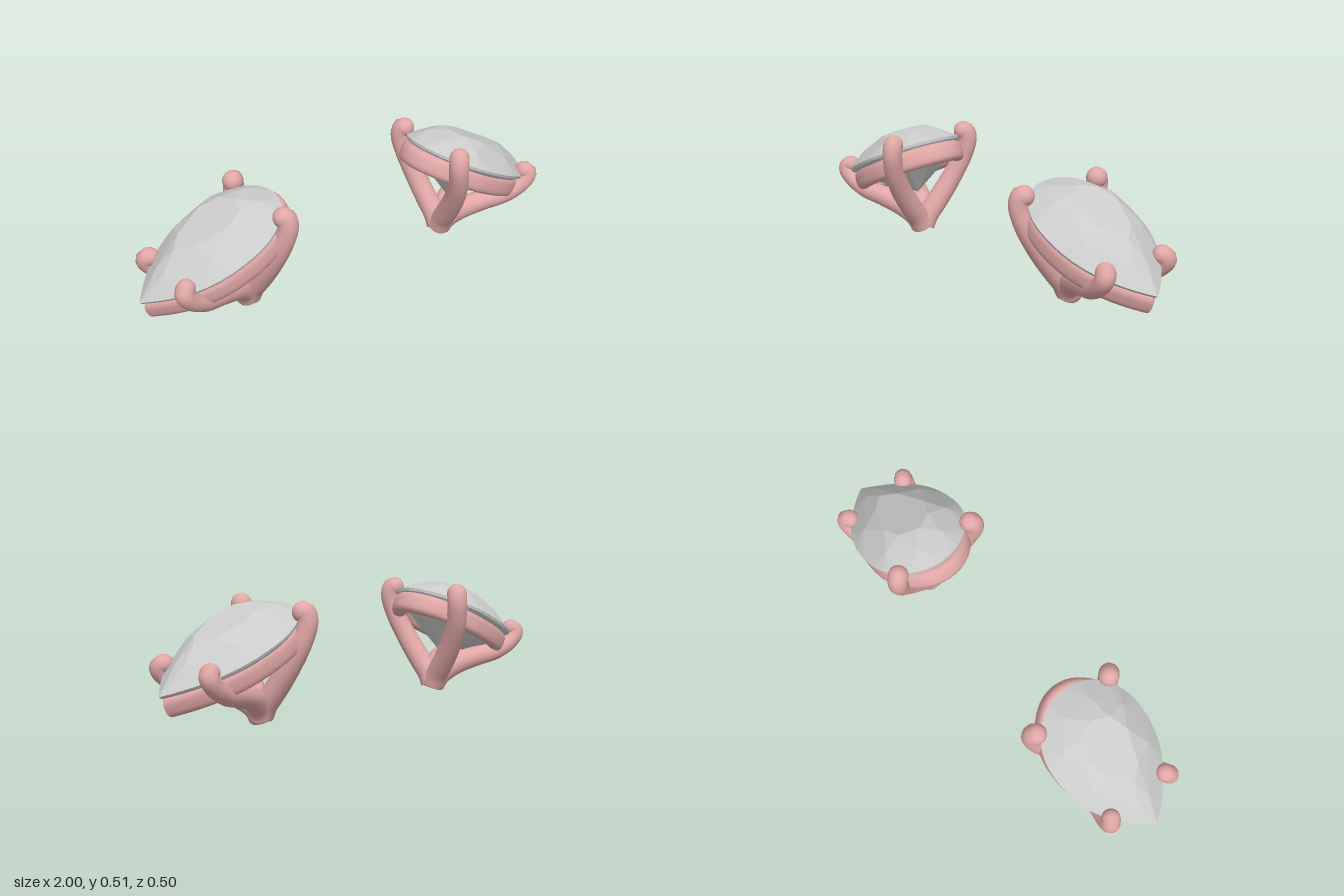
import * as THREE from 'three';
import { ConvexGeometry } from 'three/addons/geometries/ConvexGeometry.js';
import { ParametricGeometry } from 'three/addons/geometries/ParametricGeometry.js';

const gemMat = new THREE.MeshStandardMaterial({ color: 0xcccccc, flatShading: true });
const metalMat = new THREE.MeshStandardMaterial({ color: 0xe0a8a6 });
const MID = 0.42; // centre of the pear along its length

// Pear outline: tip at angle PI (u = 0), round head at angle 0 (u = 0.695)
function pear(angle, scale = 1) {
  const c = Math.cos(angle), s = Math.sin(angle);
  const u = 0.435 + (c > 0 ? 0.26 : 0.435) * c;
  const w = c > 0 ? 0.235 * s : 0.235 * Math.sign(s) * (1 - Math.pow(-c, 2.4));
  return [MID + (u - MID) * scale, w * scale];
}

// A ring of points at height h on the scaled outline
function ring(count, scale, h, shift = 0) {
  return Array.from({ length: count }, (_, i) => {
    const [u, w] = pear(Math.PI + ((i + shift) / count) * Math.PI * 2, scale);
    return new THREE.Vector3(u, h, w);
  });
}

function add(parent, name, geometry, material) {
  const mesh = new THREE.Mesh(geometry, material);
  mesh.name = name;
  parent.add(mesh);
  return mesh;
}

// Faceted pear-cut stone
function gemGeometry() {
  return new ConvexGeometry([
    ...ring(48, 1, 0), ...ring(48, 0.985, -0.012),
    ...ring(8, 0.73, 0.058, 0.5),
    ...ring(8, 0.46, 0.093),
    ...ring(16, 0.58, -0.095),
    new THREE.Vector3(0.42, -0.19, 0),
  ]);
}

// Rounded band below the girdle: creased at the tip, narrower at the sides, proud of the head
function railGeometry() {
  return new ParametricGeometry((a, b, target) => {
    const phi = -b * Math.PI * 2;
    const angle = Math.PI + a * Math.PI * 2;
    const r = 1 + 0.12 * Math.sin(2 * phi) ** 2;
    const scale = 1 + (0.028 * r * Math.cos(phi) - 0.028) / 0.235;
    const [u, w] = pear(angle, scale);
    const headShift = 0.018 * Math.max(0, Math.cos(angle)) ** 2;
    target.set(u + headShift, -0.063 + 0.045 * r * Math.sin(phi), w * 0.95);
  }, 96, 20);
}

// Claw stem: swept tube, thicker towards the foot
function stemGeometry(curve, tipRadius, extra) {
  const rings = 48, sides = 18;
  const geometry = new THREE.TubeGeometry(curve, rings, tipRadius, sides);
  const { position, normal } = geometry.attributes;
  const v = new THREE.Vector3(), n = new THREE.Vector3();
  for (let i = 0; i < position.count; i++) {
    const t = Math.floor(i / (sides + 1)) / rings;
    n.fromBufferAttribute(normal, i);
    v.fromBufferAttribute(position, i).addScaledVector(n, extra * (1 - THREE.MathUtils.smoothstep(t, 0.25, 0.8)));
    position.setXYZ(i, v.x, v.y, v.z);
  }
  return geometry;
}

// Claw with a rounded end
function addProng(parent, name, points, side, tipRadius, extra) {
  const prong = new THREE.Group();
  prong.name = name;
  const pts = points.map(([x, y, z]) => new THREE.Vector3(x, y, z * side));
  add(prong, 'prongStem', stemGeometry(new THREE.CatmullRomCurve3(pts), tipRadius, extra), metalMat);
  add(prong, 'prongTip', new THREE.SphereGeometry(tipRadius, 24, 16), metalMat).position.copy(pts[pts.length - 1]);
  parent.add(prong);
}

const tipPath = [[0.507, 0.037, 0.005], [0.532, 0.075, 0.018], [0.59, 0.12, 0.052], [0.68, 0.149, 0.092],
  [0.78, 0.171, 0.133], [0.85, 0.21, 0.156], [0.884, 0.25, 0.162], [0.882, 0.267, 0.156], [0.87, 0.27, 0.148]];
const headPath = [[0.503, 0.037, 0.005], [0.502, 0.08, 0.026], [0.493, 0.14, 0.07], [0.475, 0.24, 0.137],
  [0.452, 0.34, 0.187], [0.436, 0.42, 0.206], [0.437, 0.454, 0.204], [0.442, 0.468, 0.198], [0.447, 0.467, 0.192]];

function buildEarring(name) {
  const earring = new THREE.Group();
  earring.name = name;

  // Tilted stone and rail: local x runs tip to head, y is the stone's normal
  const tilt = 26 * Math.PI / 180, c = Math.cos(tilt), s = Math.sin(tilt);
  const head = new THREE.Group();
  head.name = 'tiltedHead';
  head.applyMatrix4(new THREE.Matrix4().makeBasis(
    new THREE.Vector3(-c, s, 0), new THREE.Vector3(s, c, 0), new THREE.Vector3(0, 0, -1)));
  head.position.set(1, 0.176, 0);
  add(head, 'gemstone', gemGeometry(), gemMat);
  add(head, 'galleryRail', railGeometry(), metalMat);
  earring.add(head);

  // Claws
  for (const side of [1, -1]) {
    addProng(earring, 'tipProng', tipPath, side, 0.039, 0.01);
    addProng(earring, 'headProng', headPath, side, 0.043, 0.006);
  }

  // Short foot where the claws meet
  const profile = [[0, 0], [0.044, 0], [0.052, 0.005], [0.055, 0.014], [0.054, 0.028], [0.052, 0.05], [0.046, 0.08], [0, 0.1]];
  const foot = add(earring, 'foot', new THREE.LatheGeometry(profile.map(p => new THREE.Vector2(...p)), 32), metalMat);
  foot.position.set(0.498, 0.02, 0);
  foot.rotation.z = -tilt;
  return earring;
}

export function createModel() {
  const model = new THREE.Group();
  model.name = 'earringPair';
  const left = buildEarring('leftEarring');
  const right = buildEarring('rightEarring');
  right.rotation.y = Math.PI;
  model.add(left, right);
  return model;
}
